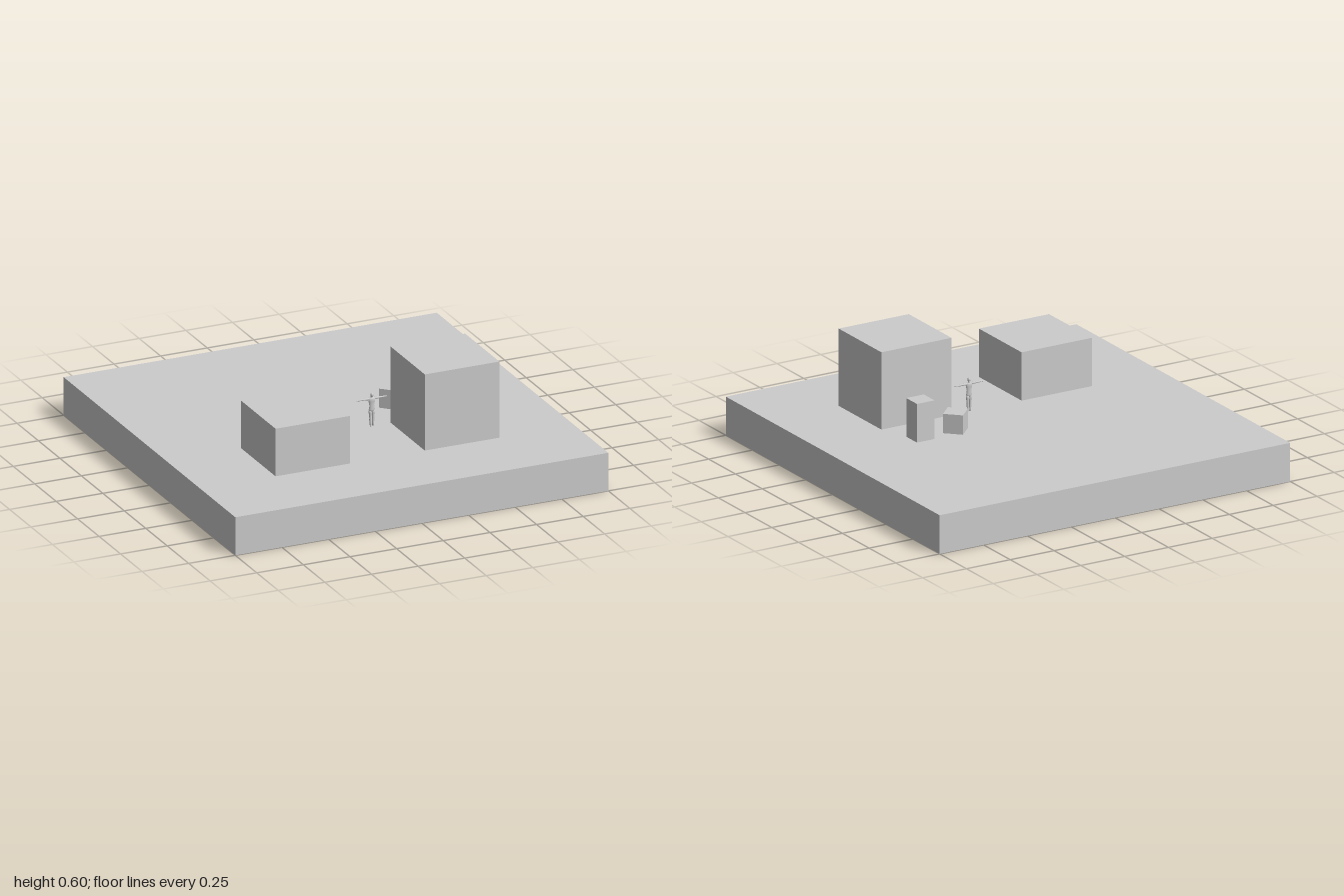
import * as THREE from 'three';

export function createModel() {
  const model = new THREE.Group();
  model.name = 'blockScene';
  const grey = new THREE.MeshStandardMaterial({ color: 0xcccccc });
  grey.name = 'plain grey';

  const add = (parent, name, geometry, x, y, z) => {
    const mesh = new THREE.Mesh(geometry, grey);
    mesh.name = name;
    mesh.position.set(x, y, z);
    parent.add(mesh);
    return mesh;
  };

  // Boxes are placed by the centre of their underside
  const block = (name, w, h, d, x, y, z) =>
    add(model, name, new THREE.BoxGeometry(w, h, d), x, y + h / 2, z);

  block('groundSlab', 2, 0.2, 2, 0, 0, 0);
  block('lowBlock', 0.4, 0.25, 0.4, -0.4, 0.2, 0.4);
  block('tallBlock', 0.4, 0.4, 0.4, 0.4, 0.2, 0.4);
  block('smallPillar', 0.1, 0.2, 0.1, 0.5, 0.2, 0);
  block('turnedCube', 0.1, 0.1, 0.1, 0.3, 0.2, 0).rotation.y = Math.PI / 4;

  // Small person with outstretched arms, feet at the group's origin
  const figure = new THREE.Group();
  figure.name = 'figure';
  figure.position.set(0.099, 0.2, 0.202);
  model.add(figure);

  // Rounded body part from [radius, height] pairs
  const turned = (name, profile, x, y, z, depth = 1) => {
    const points = profile.map(([r, h]) => new THREE.Vector2(r, h));
    const mesh = add(figure, name, new THREE.LatheGeometry(points, 12), x, y, z);
    mesh.scale.z = depth;
    return mesh;
  };

  turned('torso', [[0, 0.074], [0.012, 0.077], [0.0165, 0.088], [0.0125, 0.107],
    [0.017, 0.13], [0.019, 0.142], [0.013, 0.149], [0, 0.152]], 0, 0, 0, 0.5);
  turned('neck', [[0.006, 0.146], [0.005, 0.16]], 0, 0, -0.001);
  add(figure, 'head', new THREE.SphereGeometry(0.0085, 12, 8), 0, 0.164, 0.001)
    .scale.set(0.9, 1.3, 1);

  for (const [side, s] of [['left', 1], ['right', -1]]) {
    const leg = turned(side + 'Leg', [[0, 0.003], [0.004, 0.004], [0.0045, 0.015],
      [0.0065, 0.032], [0.0055, 0.043], [0.0085, 0.07], [0.008, 0.082], [0, 0.086]],
      s * 0.0065, 0, 0, 0.85);
    leg.rotation.z = -s * 0.02;

    add(figure, side + 'Foot', new THREE.SphereGeometry(0.004, 10, 6), s * 0.007, 0.003, 0.003)
      .scale.set(1, 0.75, 2);

    const arm = turned(side + 'Arm', [[0, 0], [0.006, 0.002], [0.005, 0.02],
      [0.004, 0.036], [0.0042, 0.044], [0.0028, 0.06], [0, 0.061]],
      s * 0.012, 0.144, -0.001);
    arm.rotation.z = -s * Math.PI / 2;

    add(figure, side + 'Hand', new THREE.SphereGeometry(0.006, 10, 6), s * 0.076, 0.144, -0.001)
      .scale.set(1.2, 0.4, 0.7);
  }
  return model;
}
